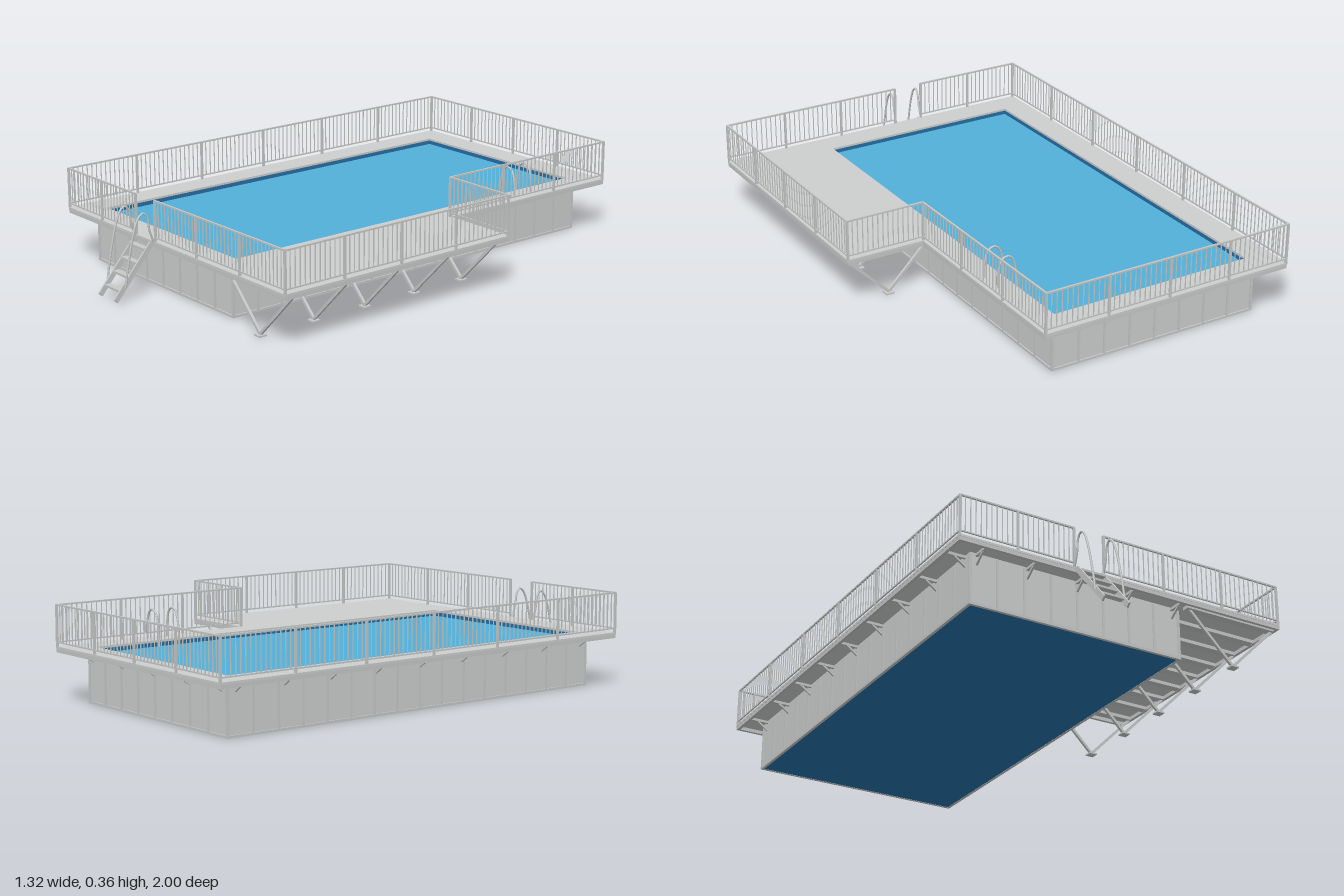
import * as THREE from 'three';
import { mergeGeometries } from 'three/addons/utils/BufferGeometryUtils.js';

const mat = (name, color) => {
  const m = new THREE.MeshStandardMaterial({ color });
  m.name = name;
  return m;
};

export function createModel() {
  const model = new THREE.Group();
  model.name = 'raisedPool';
  const panel = mat('panel grey', 0xcccfce);
  const steel = mat('steel grey', 0xc6c9c8);
  const water = mat('water blue', 0x52b0d8);
  const liner = mat('liner blue', 0x256fa6);

  const add = (name, geos, material) => {
    const mesh = new THREE.Mesh(Array.isArray(geos) ? mergeGeometries(geos) : geos, material);
    mesh.name = name;
    model.add(mesh);
  };
  // Box given by its limits on each axis
  const span = (x0, x1, y0, y1, z0, z1) =>
    new THREE.BoxGeometry(x1 - x0, y1 - y0, z1 - z0)
      .translate((x0 + x1) / 2, (y0 + y1) / 2, (z0 + z1) / 2);
  // Square bar between two points
  const bar = (a, b, w, h = w) => {
    const p = new THREE.Vector3(...a), q = new THREE.Vector3(...b);
    const m = new THREE.Matrix4().lookAt(q, p, new THREE.Vector3(0, 1, 0));
    return new THREE.BoxGeometry(w, h, p.distanceTo(q)).applyMatrix4(m)
      .translate((p.x + q.x) / 2, (p.y + q.y) / 2, (p.z + q.z) / 2);
  };
  const pipe = (points, r) => new THREE.TubeGeometry(
    new THREE.CatmullRomCurve3(points.map((p) => new THREE.Vector3(...p))), 28, r, 8);
  // Four walls around a rectangle, t thick towards the inside
  const ring = (x0, x1, y0, y1, z0, z1, t) => [
    span(x0, x1, y0, y1, z0, z0 + t), span(x0, x1, y0, y1, z1 - t, z1),
    span(x0, x0 + t, y0, y1, z0 + t, z1 - t), span(x1 - t, x1, y0, y1, z0 + t, z1 - t),
  ];

  // Tank: panels, ribs, edge beams, liner and water
  const TX0 = -0.575, TX1 = 0.267, TZ0 = -0.912, TZ1 = 0.752;
  add('tankWalls', ring(TX0, TX1, 0.004, 0.198, TZ0, TZ1, 0.01), panel);
  add('tankFloor', span(TX0 + 0.002, TX1 - 0.002, 0.001, 0.01, TZ0 + 0.002, TZ1 - 0.002), liner);
  add('poolLiner', ring(-0.559, 0.254, 0.01, 0.197, -0.899, 0.729, 0.003), liner);
  add('water', span(-0.556, 0.251, 0.174, 0.182, -0.896, 0.726), water);
  const ribs = ring(TX0 - 0.005, TX1 + 0.005, 0, 0.009, TZ0 - 0.005, TZ1 + 0.005, 0.011);
  for (let i = 0; i <= 8; i++) {
    const x = TX0 + ((TX1 - TX0) * i) / 8;
    for (const z of [TZ0, TZ1]) ribs.push(span(x - 0.004, x + 0.004, 0, 0.19, z - 0.005, z + 0.005));
  }
  for (let i = 0; i <= 16; i++) {
    const z = TZ0 + ((TZ1 - TZ0) * i) / 16;
    for (const x of [TX0, TX1]) ribs.push(span(x - 0.005, x + 0.005, 0, 0.19, z - 0.004, z + 0.004));
  }
  add('tankRibs', ribs, steel);

  // L-shaped deck with the pool opening
  const outline = [[-0.66, 0.831], [0.66, 0.831], [0.66, -0.185], [0.354, -0.185], [0.354, -1], [-0.66, -1]];
  const vec = ([x, z]) => new THREE.Vector2(x, -z);
  const shape = new THREE.Shape(outline.map(vec));
  shape.holes.push(new THREE.Path([[-0.556, 0.726], [-0.556, -0.896], [0.251, -0.896], [0.251, 0.726]].map(vec)));
  add('deck', new THREE.ExtrudeGeometry(shape, { depth: 0.008, bevelEnabled: false })
    .rotateX(-Math.PI / 2).translate(0, 0.197, 0), panel);

  // Deck edge beams, set just inside the outline
  add('deckEdgeBeams', [
    span(-0.659, 0.659, 0.183, 0.197, 0.818, 0.83), span(-0.659, -0.647, 0.183, 0.197, -0.999, 0.818),
    span(-0.647, 0.353, 0.183, 0.197, -0.999, -0.987), span(0.341, 0.353, 0.183, 0.197, -0.987, -0.184),
    span(0.341, 0.659, 0.183, 0.197, -0.184, -0.172), span(0.647, 0.659, 0.183, 0.197, -0.172, 0.818),
  ], steel);

  // Joists below the wide deck
  const joists = [];
  for (let i = 0; i < 9; i++) {
    const z = -0.13 + i * 0.115;
    joists.push(span(0.275, 0.647, 0.184, 0.197, z - 0.015, z + 0.015));
  }
  add('joists', joists, steel);

  // V-shaped struts with foot plates
  const struts = [];
  for (let i = 0; i < 5; i++) {
    const z = -0.13 + i * 0.23;
    struts.push(bar([0.29, 0.187, z], [0.47, 0.007, z], 0.01));
    struts.push(bar([0.65, 0.187, z], [0.47, 0.007, z], 0.01));
    struts.push(span(0.454, 0.486, 0, 0.006, z - 0.016, z + 0.016));
  }
  add('deckStruts', struts, steel);

  // Short diagonal brackets around the tank
  const brackets = [];
  const bracket = (x, z, dx, dz) => brackets.push(
    bar([x, 0.154, z], [x + dx * 0.045, 0.186, z + dz * 0.045], 0.007),
    bar([x, 0.189, z], [x + dx * 0.075, 0.189, z + dz * 0.075], 0.01));
  for (let i = 0; i < 5; i++) {
    const x = -0.55 + i * 0.1975;
    bracket(x, TZ1, 0, 1);
    bracket(x, TZ0, 0, -1);
  }
  for (let i = 0; i < 9; i++) bracket(TX0, -0.88 + i * 0.2, -1, 0);
  for (let i = 0; i < 4; i++) bracket(TX1, -0.88 + i * 0.2, 1, 0);
  add('deckBrackets', brackets, steel);

  // Railing runs: posts, top and bottom rails, balusters
  const railing = (name, [x0, z0], [x1, z1], bays) => {
    const geos = [];
    const n = bays * Math.round(Math.hypot(x1 - x0, z1 - z0) / bays / 0.0205);
    for (let i = 0; i <= n; i++) {
      const x = x0 + ((x1 - x0) * i) / n, z = z0 + ((z1 - z0) * i) / n;
      const post = i % (n / bays) === 0;
      const r = post ? 0.004 : 0.0015;
      geos.push(span(x - r, x + r, post ? 0.2 : 0.218, 0.356, z - r, z + r));
    }
    geos.push(bar([x0, 0.355, z0], [x1, 0.355, z1], 0.007, 0.006));
    geos.push(bar([x0, 0.22, z0], [x1, 0.22, z1], 0.005, 0.005));
    add(name, geos, steel);
  };
  const L = -0.656, R = 0.656, F = 0.827, B = -0.996, N = 0.35, S = -0.181;
  railing('frontRailingRight', [L, F], [-0.21, F], 2);
  railing('frontRailingLeft', [-0.09, F], [R, F], 3);
  railing('rightRailing', [L, F], [L, B], 6);
  railing('backRailing', [L, B], [N, B], 4);
  railing('leftRailing', [R, F], [R, S], 4);
  railing('notchRailing', [N, S], [R, S], 1);
  railing('leftBackRailing', [N, S], [N, B], 3);

  // Entry stairs: stringers, treads and looping handrails
  const stairs = [];
  for (const x of [-0.204, -0.106]) stairs.push(bar([x, 0.197, 0.834], [x, 0.012, 0.993], 0.007, 0.02));
  for (let i = 0; i < 4; i++) {
    const y = 0.178 - i * 0.0445, z = 0.855 + i * 0.036;
    stairs.push(span(-0.203, -0.107, y - 0.004, y + 0.004, z - 0.012, z + 0.012));
  }
  add('entryStairs', stairs, steel);
  add('entryHandrails', [-0.212, -0.096].map((x) => pipe([
    [x, 0.06, 0.955], [x, 0.13, 0.943], [x, 0.26, 0.912], [x, 0.307, 0.89],
    [x, 0.317, 0.872], [x, 0.3, 0.856], [x, 0.25, 0.848], [x, 0.2, 0.83]], 0.004)), steel);

  // Pool ladder: arched rails and rungs below the water
  const ladder = [-0.635, -0.547].map((z) => pipe([
    [0.313, 0.2, z], [0.312, 0.265, z], [0.3, 0.304, z], [0.277, 0.317, z],
    [0.255, 0.304, z], [0.241, 0.26, z], [0.235, 0.2, z], [0.235, 0.04, z]], 0.004));
  add('poolLadderRails', ladder, steel);
  add('poolLadderRungs', [0.06, 0.1, 0.14].map((y) =>
    span(0.227, 0.243, y - 0.003, y + 0.003, -0.635, -0.547)), steel);

  return model;
}
